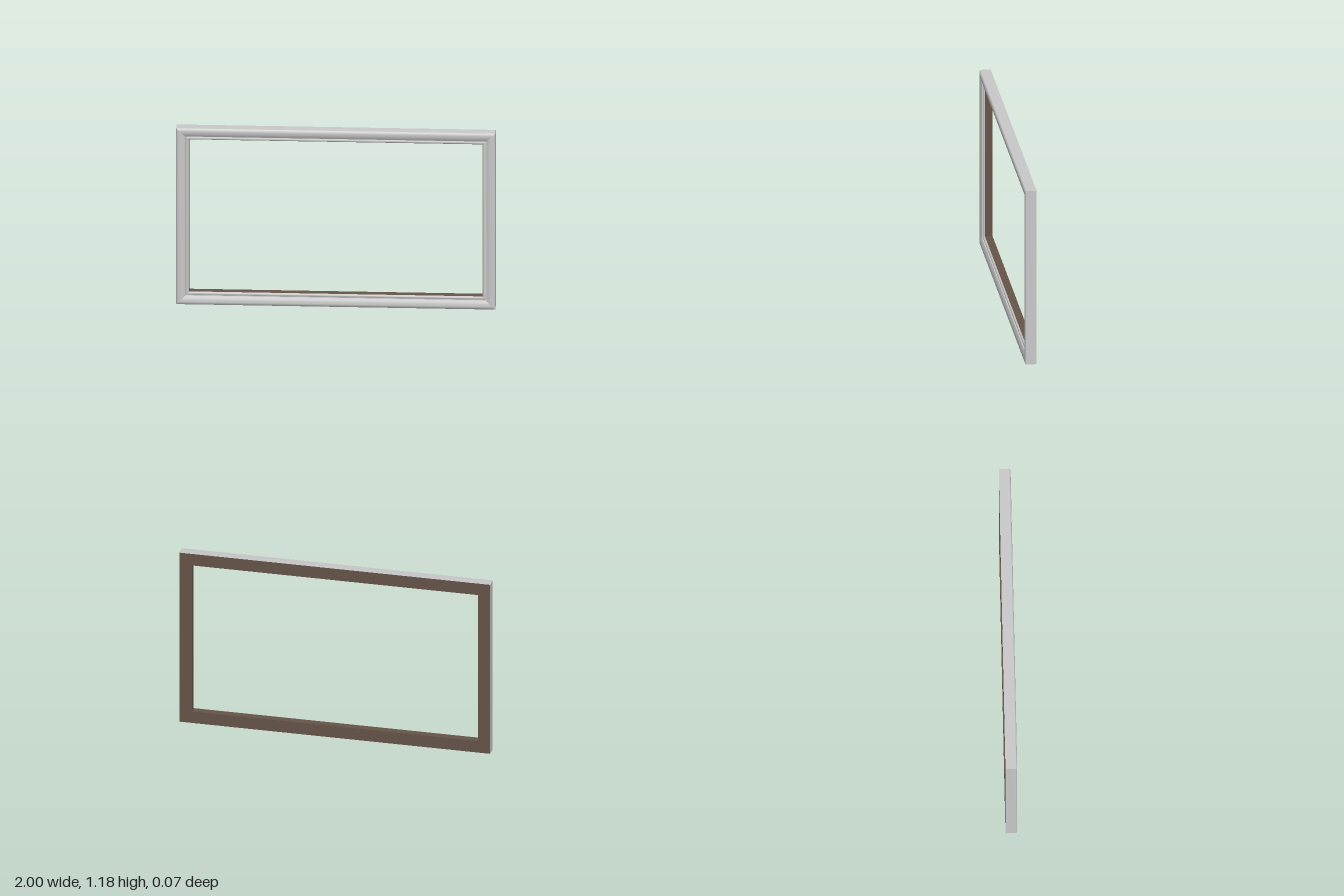
import * as THREE from 'three';
import { toCreasedNormals } from 'three/addons/utils/BufferGeometryUtils.js';

const HEIGHT = 1.176;
const BACK = -0.037;

// Corner k (counter-clockwise from bottom left) of the rectangle inset by d at depth z
function corner(k, [d, z]) {
  const right = k === 1 || k === 2;
  const top = k >= 2;
  return [right ? 1 - d : d - 1, top ? HEIGHT - d : d, z];
}

// One mitred rail: the [inset, z] profile swept from corner k to the next
function railGeometry(k, profile) {
  const n = (k + 1) % 4;
  const pos = [];
  for (let i = 0; i < profile.length - 1; i++) {
    const a = corner(k, profile[i]), b = corner(n, profile[i]);
    const c = corner(n, profile[i + 1]), d = corner(k, profile[i + 1]);
    pos.push(...a, ...b, ...c, ...a, ...c, ...d);
  }
  const g = new THREE.BufferGeometry();
  g.setAttribute('position', new THREE.Float32BufferAttribute(pos, 3));
  return toCreasedNormals(g, 0.75);
}

// Elliptical arc of profile points around (cd, cz), angles in degrees
function arc(cd, cz, rd, rz, from, to, steps) {
  return Array.from({ length: steps + 1 }, (_, i) => {
    const t = THREE.MathUtils.degToRad(from + (to - from) * i / steps);
    return [cd + rd * Math.cos(t), cz + rz * Math.sin(t)];
  });
}

export function createModel() {
  const silver = new THREE.MeshStandardMaterial({ color: 0xc8c8c8 });
  silver.name = 'silver';
  const brown = new THREE.MeshStandardMaterial({ color: 0x665548 });
  brown.name = 'dark brown wood';

  // Outer side, rounded front edge, gently crowned face, then a step
  const moulding = [
    [0, BACK],
    ...arc(0.009, 0.028, 0.009, 0.007, 180, 110, 5),
    ...arc(0.018, 0.017, 0.04, 0.02, 90, 35, 8),
    [0.056, 0.026], [0.057, 0.018],
  ];
  // Small rounded bead along the opening
  const bead = [
    [0.057, 0.018], [0.06, 0.018],
    ...arc(0.069, 0.011, 0.011, 0.011, 140, 0, 8),
  ];
  // Inner wall of the opening and flat back
  const backing = [[0.08, 0.011], [0.08, BACK], [0, BACK]];

  const frame = new THREE.Group();
  frame.name = 'pictureFrame';
  ['bottom', 'right', 'top', 'left'].forEach((side, k) => {
    // x grows toward the model's own left
    const own = { right: 'left', left: 'right' }[side] || side;
    const rail = new THREE.Group();
    rail.name = own + 'Rail';
    const parts = [['Moulding', moulding, silver], ['Bead', bead, silver], ['Backing', backing, brown]];
    for (const [part, profile, material] of parts) {
      const mesh = new THREE.Mesh(railGeometry(k, profile), material);
      mesh.name = own + part;
      rail.add(mesh);
    }
    frame.add(rail);
  });
  return frame;
}
